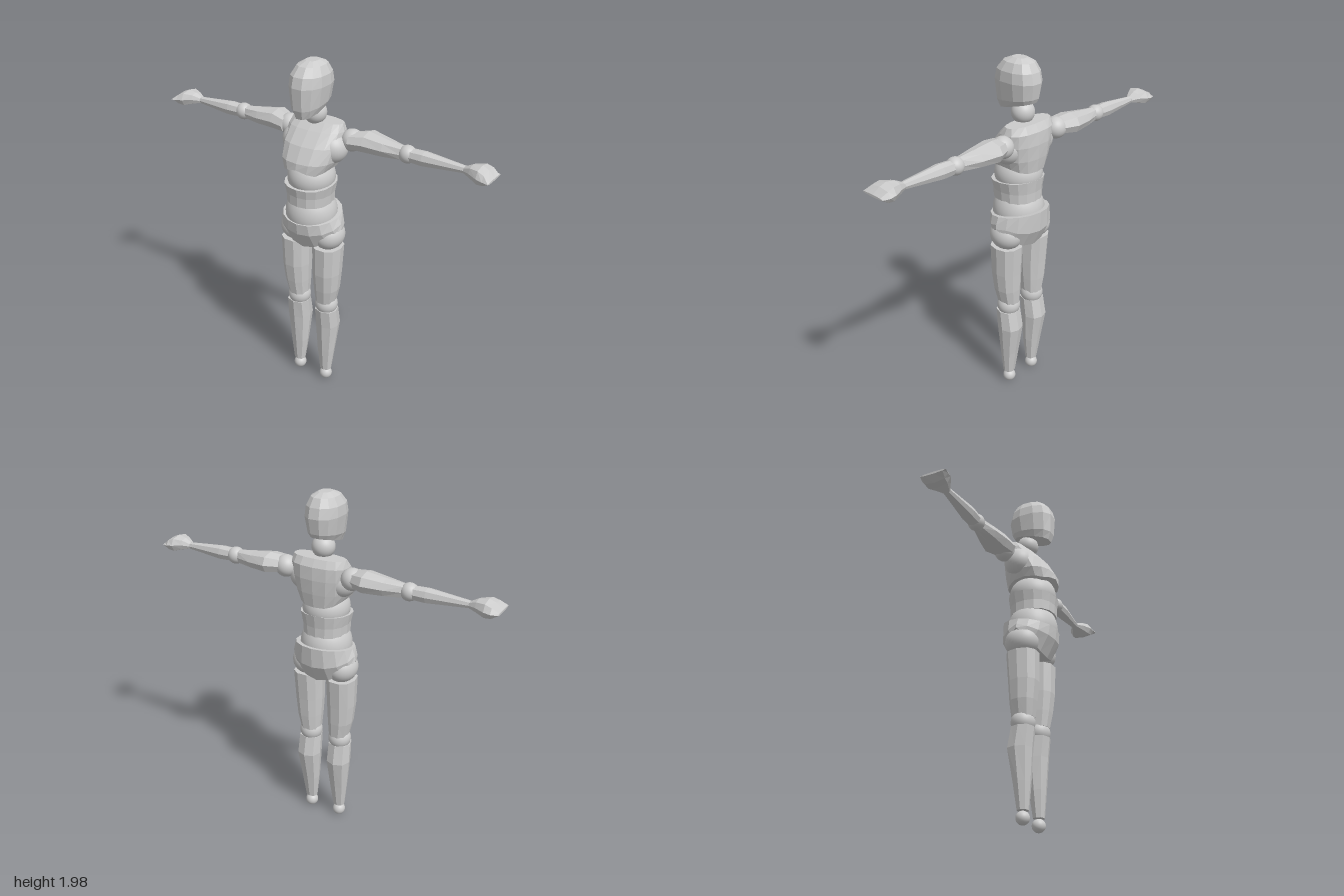
import * as THREE from 'three';

const mat = new THREE.MeshStandardMaterial({ color: 0xcccccc, flatShading: true, side: THREE.DoubleSide });
const smooth = new THREE.MeshStandardMaterial({ color: 0xcccccc });

// Faceted solid through rings [y, centreX, halfWidth, frontZ, backZ], listed from low y to high y.
// lift(ring, cos, sin) raises single points of a ring; power < 1 makes the rings squarer.
function loft(name, rings, { sides = 8, half = false, power = 1, lift = () => 0 } = {}) {
  const pos = [], index = [];
  const shape = v => Math.sign(v) * Math.abs(v) ** power;
  rings.forEach(([y, cx, rx, zf, zb], r) => {
    for (let i = 0; i < sides; i++) {
      const a = ((i + (half ? 0.5 : 0)) / sides) * Math.PI * 2;
      const c = shape(Math.cos(a)), s = shape(Math.sin(a));
      pos.push(cx + rx * c, y + lift(r, c, s), (zf + zb) / 2 + ((zf - zb) / 2) * s);
    }
  });
  const last = (rings.length - 1) * sides, low = rings.length * sides;
  for (const [y, cx, , zf, zb] of [rings[0], rings[rings.length - 1]]) pos.push(cx, y, (zf + zb) / 2);
  for (let i = 0; i < sides; i++) {
    const j = (i + 1) % sides;
    for (let k = 0; k < last; k += sides) {
      index.push(k + i, k + sides + i, k + j, k + j, k + sides + i, k + sides + j);
    }
    index.push(low, i, j, low + 1, last + j, last + i);
  }
  const geo = new THREE.BufferGeometry();
  geo.setAttribute('position', new THREE.Float32BufferAttribute(pos, 3));
  geo.setIndex(index);
  geo.computeVertexNormals();
  const mesh = new THREE.Mesh(geo, mat);
  mesh.name = name;
  return mesh;
}

function ball(name, x, y, z, rx, ry = rx, rz = rx) {
  const mesh = new THREE.Mesh(new THREE.SphereGeometry(1, 32, 20), smooth);
  mesh.name = name;
  mesh.position.set(x, y, z);
  mesh.scale.set(rx, ry, rz);
  return mesh;
}

function makeArm() {
  const arm = new THREE.Group();
  // Segments are lofted along y, then laid out along x
  const segments = new THREE.Group();
  segments.name = 'armSegments';
  segments.rotation.z = -Math.PI / 2;
  segments.position.y = 1.565;
  segments.add(
    loft('upperArm', [
      [0.21, -0.005, 0.044, 0.005, -0.125],
      [0.29, -0.01, 0.055, -0.005, -0.165],
      [0.4, -0.003, 0.046, -0.018, -0.14],
      [0.5, 0, 0.038, -0.04, -0.11],
    ], { power: 0.85 }),
    loft('forearm', [
      [0.55, 0, 0.036, -0.035, -0.113],
      [0.62, 0, 0.039, -0.032, -0.115],
      [0.74, 0, 0.028, -0.043, -0.103],
      [0.85, 0, 0.018, -0.053, -0.093],
    ], { power: 0.85 }),
    loft('hand', [
      [0.84, 0, 0.017, -0.05, -0.095],
      [0.88, -0.005, 0.033, -0.025, -0.115],
      [0.93, -0.002, 0.045, 0.005, -0.14],
      [0.965, 0.002, 0.035, 0.012, -0.143],
      [1.0, 0.004, 0.006, 0.018, -0.13],
    ], { power: 0.8 }),
  );
  arm.add(
    segments,
    ball('shoulderSocket', 0.11, 1.52, -0.02, 0.085),
    ball('shoulderJoint', 0.2, 1.565, -0.07, 0.06),
    ball('elbowJoint', 0.525, 1.565, -0.075, 0.047),
  );
  return arm;
}

function makeLeg() {
  const leg = new THREE.Group();
  leg.add(
    ball('hipJoint', 0.107, 1.01, 0, 0.088, 0.088, 0.098),
    loft('thigh', [
      [0.57, 0.093, 0.056, 0.064, -0.062],
      [0.66, 0.1, 0.07, 0.078, -0.07],
      [0.77, 0.103, 0.078, 0.09, -0.076],
      [0.94, 0.105, 0.083, 0.093, -0.088],
    ], { sides: 10, power: 0.85 }),
    ball('kneeJoint', 0.095, 0.545, 0, 0.066),
    loft('shin', [
      [0.075, 0.095, 0.034, 0.032, -0.03],
      [0.22, 0.095, 0.052, 0.043, -0.052],
      [0.4, 0.098, 0.068, 0.055, -0.084],
      [0.515, 0.097, 0.066, 0.066, -0.062],
    ], { power: 0.85 }),
    ball('ankleJoint', 0.095, 0.037, 0, 0.037),
  );
  return leg;
}

export function createModel() {
  const model = new THREE.Group();
  model.name = 'mannequin';

  // Head, with the underside sloping down to the chin
  const slope = [-0.03, -0.018];
  model.add(
    loft('head', [
      [1.725, 0, 0.062, 0.128, -0.1],
      [1.76, 0, 0.08, 0.143, -0.112],
      [1.86, 0, 0.095, 0.15, -0.125],
      [1.915, 0, 0.091, 0.135, -0.112],
      [1.96, 0, 0.068, 0.095, -0.085],
      [1.98, 0, 0.034, 0.045, -0.04],
    ], { sides: 12, half: true, power: 0.85, lift: (r, c, s) => (slope[r] ?? 0) * s }),
    ball('neckJoint', 0, 1.693, -0.02, 0.063),
  );

  // Chest, arched over the belly at the bottom
  const arch = (r, c, s) => (r ? 0 : 0.03 * c ** 4 + (s > 0 ? 0.04 * s ** 8 : 0));
  model.add(
    loft('chest', [
      [1.385, 0, 0.128, 0.16, -0.125],
      [1.46, 0, 0.152, 0.155, -0.135],
      [1.54, 0, 0.165, 0.11, -0.14],
      [1.61, 0, 0.165, 0.045, -0.135],
      [1.65, 0, 0.153, 0.0, -0.11],
    ], { sides: 16, power: 0.8, lift: arch }),
    ball('upperBelly', 0, 1.345, 0.013, 0.13, 0.12, 0.134),
    loft('waist', [
      [1.205, 0, 0.125, 0.148, -0.112],
      [1.26, 0, 0.128, 0.15, -0.113],
      [1.32, 0, 0.141, 0.158, -0.122],
    ], { sides: 16, power: 0.9, lift: (r, c, s) => (r === 2 ? -0.012 * s : 0) }),
    ball('lowerBelly', 0, 1.13, 0.012, 0.145, 0.155, 0.142),
  );

  // Pelvis, cut high at the sides for the legs
  const cut = (r, c, s) => [
    0.125 * (1 - Math.abs(s) ** 1.5),
    0.05 * (1 - Math.abs(s)),
    -0.025 * s,
  ][r];
  model.add(loft('pelvis', [
    [0.94, 0, 0.19, 0.1, -0.1],
    [1.04, 0, 0.185, 0.152, -0.15],
    [1.13, 0, 0.168, 0.16, -0.155],
  ], { sides: 16, lift: cut }));

  // Mirrored limbs
  for (const [side, sign] of [['left', 1], ['right', -1]]) {
    for (const [part, make] of [['Arm', makeArm], ['Leg', makeLeg]]) {
      const limb = make();
      limb.name = side + part;
      limb.scale.x = sign;
      model.add(limb);
    }
  }
  return model;
}
